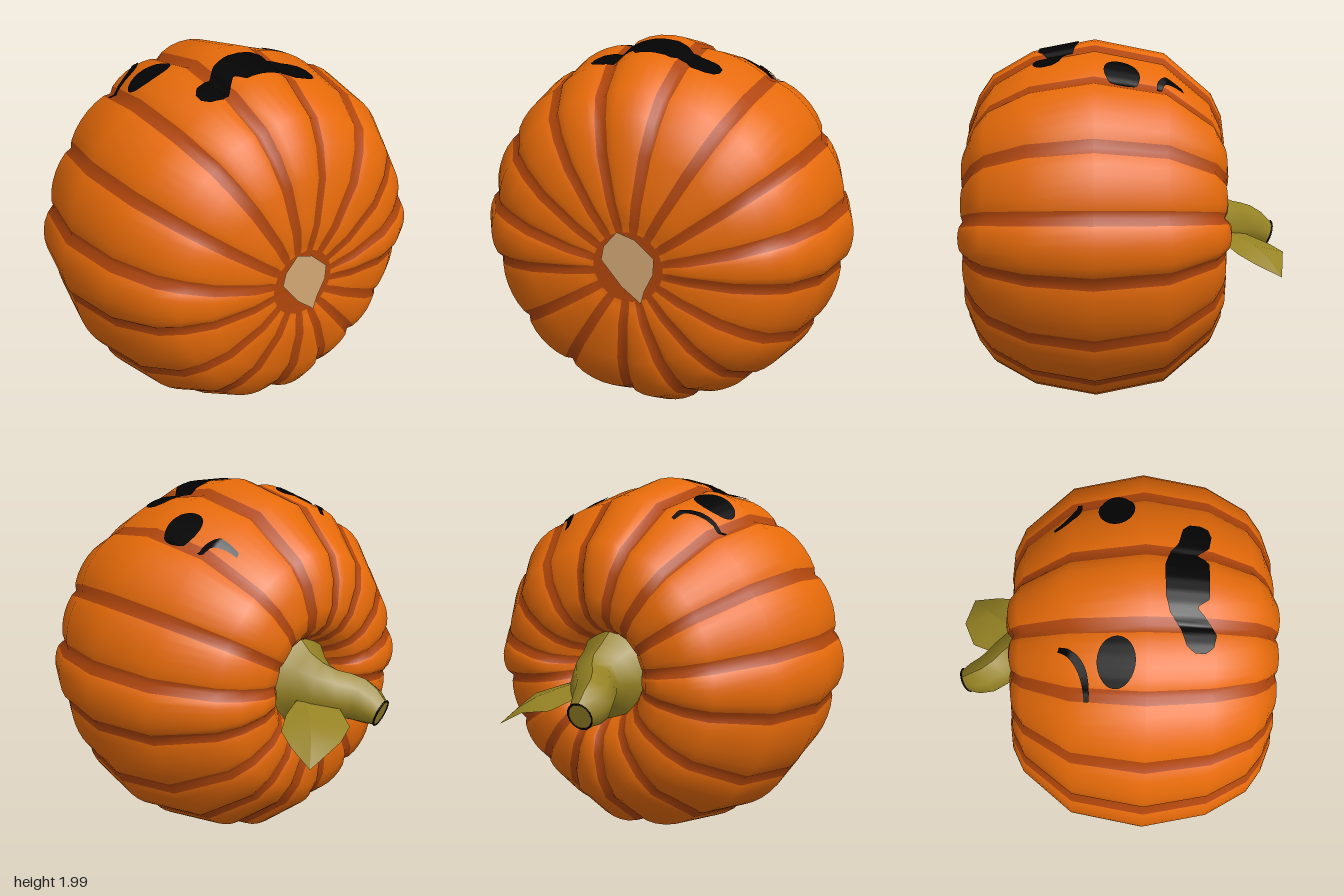
import * as THREE from 'three';

const mat = (name, color, side = THREE.FrontSide) => {
  const m = new THREE.MeshStandardMaterial({ color, side });
  m.name = name;
  return m;
};

// Groove directions around the z axis in degrees, and the size of the rib after each groove
const GROOVES = [10, 31, 56, 80, 103, 124, 147, 169, 190, 215.5, 240, 266, 287, 307, 329, 351];
const RIB_SIZE = [0.975, 0.985, 0.965, 1, 0.985, 0.98, 0.98, 1, 0.975, 0.98, 0.985, 1, 0.98, 0.98, 0.97, 1];
// Rows from blossom end to stem end: radius, z, groove depth, height offset of the row
const PROFILE = [
  [0.01, 0.84, 0, -0.05], [0.18, 0.84, 0, -0.05], [0.22, 0.85, 0.01, -0.045], [0.32, 0.868, 0.022, -0.035],
  [0.55, 0.85, 0.035, -0.015], [0.7, 0.79, 0.045, -0.005], [0.81, 0.71, 0.05, 0], [0.935, 0.49, 0.05, 0],
  [1.0, 0.15, 0.05, 0], [0.925, -0.23, 0.05, 0], [0.705, -0.49, 0.05, 0], [0.58, -0.55, 0.05, 0],
  [0.43, -0.57, 0.05, 0], [0.33, -0.545, 0.05, 0], [0.26, -0.48, 0.05, 0], [0.19, -0.36, 0.04, 0],
];
const MID_Z = 0.14, STEPS = 5;

// Ribbed body: every rib has two groove columns and a bulging span between them
function ribbedBody(skin, groove) {
  const pos = [], skinIdx = [], grooveIdx = [];
  const cols = GROOVES.length * (STEPS + 2);
  for (const [r, z, depth, lift] of PROFILE) {
    GROOVES.forEach((a0, i) => {
      const a1 = i + 1 < GROOVES.length ? GROOVES[i + 1] : GROOVES[0] + 360;
      const span = THREE.MathUtils.degToRad(a1 - a0);
      const edge = Math.min((0.02 + 0.018 * r) / (span * r), 0.27);
      for (let k = 0; k < STEPS + 2; k++) {
        const u = k === 0 ? 0 : edge + (1 - 2 * edge) * (k - 1) / STEPS;
        const a = THREE.MathUtils.degToRad(a0) + span * u;
        const bump = Math.sqrt(Math.sin(Math.PI * u));
        const s = 1 - depth * (1 - bump) - (1 - RIB_SIZE[i]) * bump * depth / 0.05;
        pos.push(Math.cos(a) * r * s, 1 + lift + Math.sin(a) * r * s, MID_Z + (z - MID_Z) * s);
      }
    });
  }
  for (let i = 0; i + 1 < PROFILE.length; i++) {
    for (let j = 0; j < cols; j++) {
      const k = j % (STEPS + 2), n = (j + 1) % cols;
      const isGroove = i === 0 || k === 0 || k === STEPS + 1;
      const a = i * cols + j, b = a + cols, c = (i + 1) * cols + n, d = i * cols + n;
      (isGroove ? grooveIdx : skinIdx).push(a, b, c, a, c, d);
    }
  }
  const g = new THREE.BufferGeometry();
  g.setAttribute('position', new THREE.Float32BufferAttribute(pos, 3));
  g.setIndex([...skinIdx, ...grooveIdx]);
  g.addGroup(0, skinIdx.length, 0);
  g.addGroup(skinIdx.length, grooveIdx.length, 1);
  g.computeVertexNormals();
  return new THREE.Mesh(g, [skin, groove]);
}

// Thin patch draped on the body; edges(u) gives two [x, z] points to span between
function drape(body, edges, n, m, material) {
  const ray = new THREE.Raycaster(), down = new THREE.Vector3(0, -1, 0);
  const g = new THREE.PlaneGeometry(1, 1, n, m);
  const p = g.attributes.position;
  for (let i = 0; i < p.count; i++) {
    const [a, b] = edges(p.getX(i) + 0.5);
    const v = 0.5 - p.getY(i);
    const x = a[0] + (b[0] - a[0]) * v, z = a[1] + (b[1] - a[1]) * v;
    ray.set(new THREE.Vector3(x, 3, z), down);
    const hit = ray.intersectObject(body)[0];
    p.setXYZ(i, x, (hit ? hit.point.y : 1.9) + 0.008, z);
  }
  g.computeVertexNormals();
  return new THREE.Mesh(g, material);
}

// Linear lookup in a short table of [x, value] rows
function lookup(table, x) {
  let i = 0;
  while (i < table.length - 2 && x > table[i + 1][0]) i++;
  const [x0, y0] = table[i], [x1, y1] = table[i + 1];
  return y0 + (y1 - y0) * THREE.MathUtils.clamp((x - x0) / (x1 - x0), 0, 1);
}

export function createModel() {
  const model = new THREE.Group();
  const orange = mat('orange skin', 0xe66a09);
  const rust = mat('rust groove', 0xaf450b);
  const tan = mat('tan scar', 0xd2a774, THREE.DoubleSide);
  const olive = mat('olive stem', 0x968324, THREE.DoubleSide);
  const black = mat('black paint', 0x030303, THREE.DoubleSide);
  const add = (mesh, name) => { mesh.name = name; model.add(mesh); };

  const body = ribbedBody(orange, rust);
  add(body, 'body');

  // Blossom scar
  const scar = new THREE.Shape([
    [-0.05, 1.13], [-0.12, 1.05], [-0.135, 0.98], [-0.03, 0.85], [0.07, 0.77],
    [0.09, 0.84], [0.135, 0.93], [0.14, 1.01], [0.04, 1.1],
  ].map(([x, y]) => new THREE.Vector2(x, y)));
  const scarMesh = new THREE.Mesh(new THREE.ShapeGeometry(scar), tan);
  scarMesh.position.z = 0.852;
  add(scarMesh, 'blossomScar');

  // Eyes
  for (const [name, cx, rx] of [['rightEye', -0.38, 0.115], ['leftEye', 0.445, 0.105]]) {
    add(drape(body, (u) => {
      const t = Math.PI * (1 - u), x = cx + rx * Math.cos(t), h = 0.092 * Math.sin(t);
      return [[x, 0.008 - h], [x, 0.008 + h]];
    }, 24, 10, black), name);
  }

  // Eyebrows
  const brows = [
    ['rightBrow', [-0.54, -0.135], [-0.36, -0.13], [-0.305, -0.27]],
    ['leftBrow', [0.37, -0.31], [0.41, -0.18], [0.515, -0.18]],
  ];
  for (const [name, ...pts] of brows) {
    const curve = new THREE.QuadraticBezierCurve(...pts.map((q) => new THREE.Vector2(...q)));
    add(drape(body, (u) => {
      const c = curve.getPoint(u), t = curve.getTangent(u);
      const w = 0.011 + 0.009 * Math.sin(Math.PI * u);
      return [[c.x + t.y * w, c.y - t.x * w], [c.x - t.y * w, c.y + t.x * w]];
    }, 20, 3, black), name);
  }

  // Mouth with two drooping corners
  const upper = [[-0.34, 0.38], [-0.31, 0.34], [-0.22, 0.31], [-0.16, 0.26], [-0.08, 0.24],
    [0.08, 0.24], [0.17, 0.27], [0.22, 0.31], [0.31, 0.335], [0.34, 0.37]];
  const lower = [[-0.34, 0.43], [-0.31, 0.47], [-0.25, 0.485], [-0.2, 0.46], [-0.13, 0.39],
    [-0.09, 0.45], [0.1, 0.455], [0.16, 0.4], [0.2, 0.46], [0.27, 0.475], [0.32, 0.46], [0.34, 0.42]];
  add(drape(body, (u) => {
    const x = -0.34 + 0.68 * u;
    return [[x, lookup(upper, x)], [x, lookup(lower, x)]];
  }, 60, 12, black), 'mouth');

  // Stem: tube with a tapering radius, slightly taller than wide
  const path = new THREE.CatmullRomCurve3([
    new THREE.Vector3(0, 0.97, -0.34), new THREE.Vector3(-0.01, 0.965, -0.55),
    new THREE.Vector3(-0.12, 0.935, -0.7), new THREE.Vector3(-0.15, 0.885, -0.845),
  ]);
  const radii = [0.27, 0.22, 0.17, 0.14, 0.12, 0.115, 0.11, 0.095, 0.065];
  const stem = new THREE.TubeGeometry(path, 8, 1, 8);
  const sp = stem.attributes.position, v = new THREE.Vector3();
  for (let i = 0; i < sp.count; i++) {
    const row = Math.floor(i / 9), c = path.getPointAt(row / 8);
    v.fromBufferAttribute(sp, i).sub(c).multiplyScalar(radii[row]);
    v.y *= 1.15;
    v.add(c);
    sp.setXYZ(i, v.x, v.y, v.z);
  }
  stem.computeVertexNormals();
  add(new THREE.Mesh(stem, olive), 'stem');

  // Cut end of the stem with a dark rim
  const tip = new THREE.Group();
  const cut = new THREE.Mesh(new THREE.CircleGeometry(0.067, 8), olive);
  const rim = new THREE.Mesh(new THREE.TorusGeometry(0.066, 0.005, 4, 16), black);
  for (const part of [cut, rim]) part.scale.y = 1.13;
  cut.name = 'stemCut';
  rim.name = 'stemRim';
  tip.add(cut, rim);
  tip.position.copy(path.getPointAt(1));
  tip.lookAt(tip.position.clone().add(path.getTangentAt(1)));
  add(tip, 'stemTip');

  // Leaf: two halves folded along the midrib
  const midrib = [[0.1, 0.96, -0.5], [0.2, 0.92, -0.66], [0.3, 0.86, -0.76], [0.4, 0.75, -0.845]];
  const sides = [
    [[0.08, 0.95, -0.52], [0.0, 0.92, -0.68], [0.07, 0.87, -0.82], [0.21, 0.85, -0.88], [0.4, 0.75, -0.845]],
    [[0.13, 0.96, -0.52], [0.26, 0.91, -0.55], [0.36, 0.87, -0.61], [0.385, 0.82, -0.7], [0.4, 0.75, -0.845]],
  ];
  const spine = new THREE.CatmullRomCurve3(midrib.map((q) => new THREE.Vector3(...q)));
  sides.forEach((edge, s) => {
    const pos = [], idx = [];
    edge.forEach((e, i) => {
      pos.push(...spine.getPoint(i / 4).toArray(), ...e);
      const a = i * 2;
      if (i < 4) idx.push(...(s ? [a, a + 1, a + 3, a, a + 3, a + 2] : [a, a + 3, a + 1, a, a + 2, a + 3]));
    });
    const g = new THREE.BufferGeometry();
    g.setAttribute('position', new THREE.Float32BufferAttribute(pos, 3));
    g.setIndex(idx);
    g.computeVertexNormals();
    add(new THREE.Mesh(g, olive), s ? 'leafLeftHalf' : 'leafRightHalf');
  });

  return model;
}
